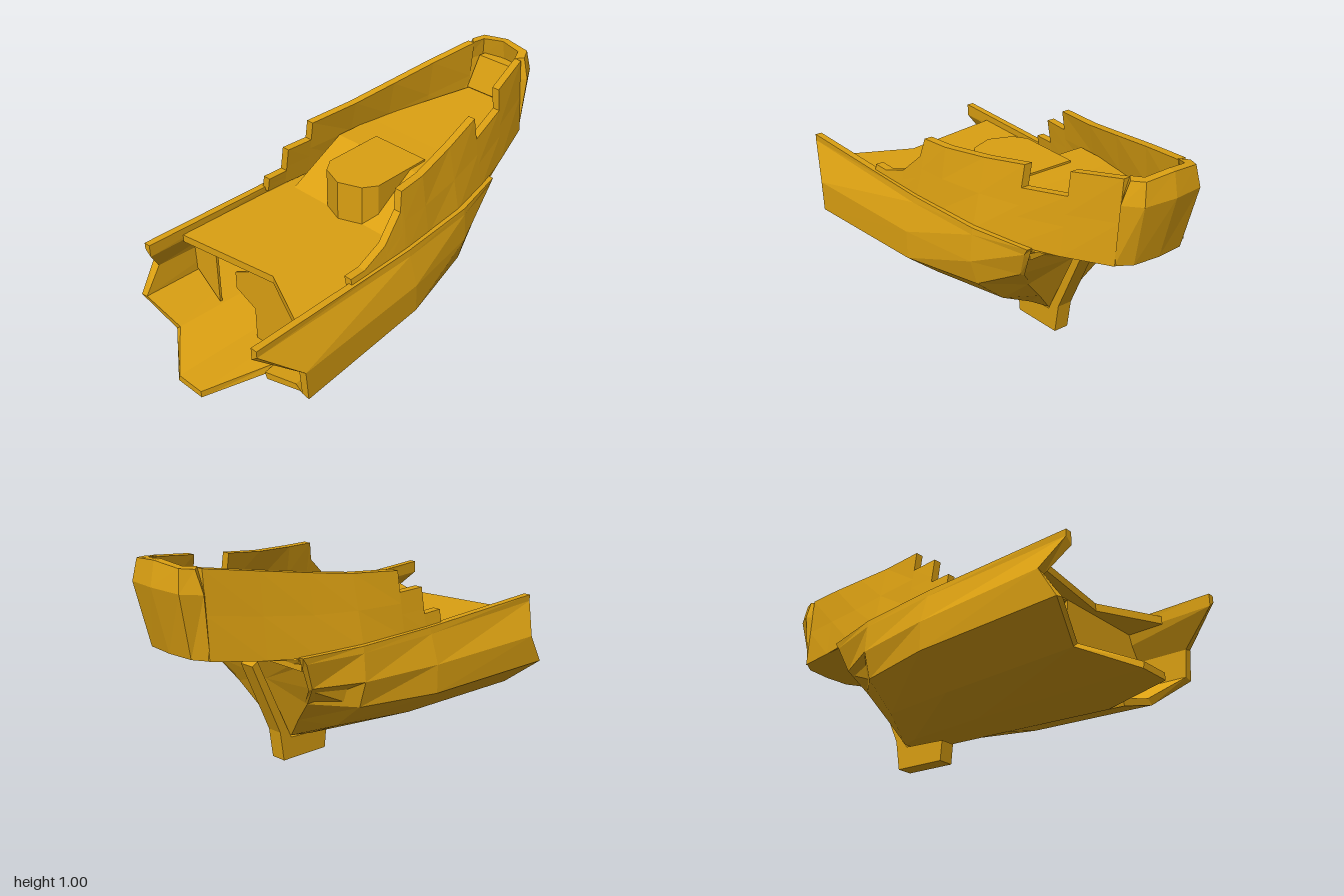
import * as THREE from 'three';

const wood = new THREE.MeshStandardMaterial({ color: 0xdba012, side: THREE.DoubleSide, flatShading: true });
wood.name = 'golden wood';

// Flat-shaded mesh from a list of polygons (each split as a fan)
function faces(name, polys) {
  const pos = [];
  for (const p of polys)
    for (let i = 1; i < p.length - 1; i++) pos.push(...p[0], ...p[i], ...p[i + 1]);
  const geo = new THREE.BufferGeometry();
  geo.setAttribute('position', new THREE.Float32BufferAttribute(pos, 3));
  geo.computeVertexNormals();
  const mesh = new THREE.Mesh(geo, wood);
  mesh.name = name;
  return mesh;
}

// Skin closed loops; each loop is an outer run followed by the reversed inner run
function shell(name, loops) {
  const n = loops[0].length, polys = [];
  for (let s = 0; s < loops.length - 1; s++)
    for (let i = 0; i < n; i++) {
      const j = (i + 1) % n;
      polys.push([loops[s][i], loops[s][j], loops[s + 1][j], loops[s + 1][i]]);
    }
  const rim = (l) => {
    for (let i = 0; i < n / 2 - 1; i++) polys.push([l[i], l[n - 1 - i], l[n - 2 - i], l[i + 1]]);
  };
  rim(loops[0]);
  rim(loops[loops.length - 1]);
  return faces(name, polys);
}

// Extrude a 2D outline by depth
function slab(name, outline, depth) {
  const shape = new THREE.Shape(outline.map(([x, y]) => new THREE.Vector2(x, y)));
  const mesh = new THREE.Mesh(new THREE.ExtrudeGeometry(shape, { depth, bevelEnabled: false }), wood);
  mesh.name = name;
  return mesh;
}

// Horizontal slab from an x,z outline, spanning y0 to y1
function deckSlab(name, outline, y0, y1) {
  const mesh = slab(name, outline, y1 - y0);
  mesh.rotation.x = Math.PI / 2;
  mesh.position.y = y1;
  return mesh;
}

// Piecewise linear lookup in [z, value] pairs with falling z
function lookup(table, z) {
  if (z >= table[0][0]) return table[0][1];
  for (let i = 1; i < table.length; i++) {
    const [z0, a] = table[i - 1], [z1, b] = table[i];
    if (z >= z1) return a + (b - a) * (z - z0) / (z1 - z0);
  }
  return table[table.length - 1][1];
}

// Hull half sections from rail to bottom: x, y (last one also z)
const hullHalf = [
  { pts: [[0.42, 0.58], [0.42, 0.55], [0.495, 0.41], [0.495, 0.27], [0.335, 0.14], [0.13, 0.075]] },
  { z: 0.15, pts: [[0.405, 0.58], [0.41, 0.55], [0.45, 0.42], [0.45, 0.29], [0.29, 0.16], [0.1, 0.102]] },
  { z: -0.24, pts: [[0.375, 0.58], [0.378, 0.55], [0.388, 0.428], [0.355, 0.31], [0.22, 0.19], [0.07, 0.115]] },
  { pts: [[0.31, 0.58, -0.52], [0.31, 0.55, -0.5], [0.29, 0.43, -0.45], [0.21, 0.33, -0.4], [0.12, 0.225, -0.365], [0.04, 0.122, -0.33]] },
];
// Ragged broken front edge, from the -x rail round to the +x rail
const breakZ = [0.87, 0.87, 0.79, 0.87, 0.82, 0.98, 0.98, 0.65, 0.72, 0.72, 0.82, 0.83, 1.0, 1.0];

function hullOuter({ z, pts }, front) {
  const keel = pts[pts.length - 1];
  const run = [
    ...pts.map(([x, y, pz]) => [-x, y, pz ?? z]),
    ...[0.15, 0.92].map((f) => [keel[0] * f, keel[1], keel[2] ?? z]),
    ...[...pts].reverse().map(([x, y, pz]) => [x, y, pz ?? z]),
  ];
  return front ? run.map(([x, y], i) => [x, y, breakZ[i]]) : run;
}

function buildHull(group) {
  const outers = hullHalf.map((h, i) => hullOuter(h, i === 0));
  const inset = ([x, y, z]) => [x * 0.925, y > 0.57 ? y : 0.33 + (y - 0.33) * 0.88, z];
  group.add(shell('hull', outers.map((o) => [...o, ...[...o].reverse().map(inset)])));
  const end = outers[outers.length - 1];
  const mid = [0, 0.4, -0.435];
  group.add(faces('sternPlate', end.map((p, i) => [mid, p, end[(i + 1) % end.length]])));
}

// Upper side walls
const baseX = [[0.48, 0.4], [0.15, 0.39], [-0.26, 0.355], [-0.52, 0.29], [-0.9, 0.175]];
const topX = [[0.14, 0.345], [0, 0.335], [-0.43, 0.255], [-0.65, 0.21], [-0.9, 0.15]];
const topY = [[0.14, 0.835], [0, 0.842], [-0.22, 0.865], [-0.43, 0.9], [-0.65, 0.94], [-0.9, 0.985]];
const baseY = [[-0.5, 0.565], [-0.9, 0.63]];
const WALL = 0.036;

function wallLoop(side, z, y = lookup(topY, z)) {
  const b = lookup(baseY, z), bx = lookup(baseX, z);
  const at = (v) => bx + (lookup(topX, z) - bx) * (v - b) / (lookup(topY, z) - b);
  const run = [b, (b + y) / 2, y].map((v) => [at(v), v]);
  const inner = [...run].reverse().map(([x, v]) => [x - WALL, v]);
  return [...run, ...inner].map(([x, v]) => [side * x, v, z]);
}

function buildWalls(group) {
  const leftPath = [[0.48, 0.605], [0.4, 0.605], [0.27, 0.65], [0.16, 0.75], [0.14], [0], [-0.22], [-0.43],
    [-0.43, 0.805], [-0.65, 0.84], [-0.65], [-0.88]];
  const rightPath = [[0.24, 0.635], [0.14, 0.635], [0.14, 0.75], [0.01, 0.75], [0.01], [-0.22], [-0.43], [-0.65], [-0.88]];
  group.add(shell('leftWall', leftPath.map(([z, y]) => wallLoop(1, z, y))));
  group.add(shell('rightWall', rightPath.map(([z, y]) => wallLoop(-1, z, y))));

  // Faceted wall round the stern
  const corner = [[0.178, 0.626, -0.875], [0.185, 0.89, -0.9], [0.152, 0.984, -0.91]];
  const back = [[0.12, 0.63, -0.92], [0.14, 0.9, -0.98], [0.125, 0.992, -0.965]];
  const centre = [[0, 0.63, -0.93], [0, 0.905, -1], [0, 1.005, -0.98]];
  const flip = (run) => run.map(([x, y, z]) => [-x, y, z]);
  const close = (run) => [...run, ...[...run].reverse().map(([x, y, z]) => [x * 0.8, y, z + 0.035])];
  group.add(shell('sternWall', [corner, back, centre, flip(back), flip(corner)].map(close)));

  // Underside of the overhanging stern
  const rows = [[0.31, 0.565, -0.4], [0.29, 0.567, -0.52], [0.178, 0.626, -0.875], [0.12, 0.63, -0.92], [0, 0.63, -0.93]];
  group.add(strip('sternUnderside', rows));
}

// Symmetric surface through rows of [half width, y, z]
function strip(name, rows) {
  const polys = [];
  for (let i = 1; i < rows.length; i++) {
    const [x0, y0, z0] = rows[i - 1], [x1, y1, z1] = rows[i];
    polys.push([[-x0, y0, z0], [x0, y0, z0], [x1, y1, z1], [-x1, y1, z1]]);
  }
  return faces(name, polys);
}

export function createModel() {
  const group = new THREE.Group();
  group.name = 'brokenShipStern';
  buildHull(group);
  buildWalls(group);

  // Decks, ramp and hatch
  group.add(deckSlab('mainDeck', [[-0.385, 0.7], [0.1, 0.63], [0.39, 0.77], [0.375, 0.15], [0.34, -0.2],
    [0.28, -0.5], [-0.28, -0.5], [-0.34, -0.2], [-0.375, 0.15]], 0.515, 0.55));
  group.add(strip('rampAndUpperDeck', [[0.315, 0.55, 0.12], [0.285, 0.725, -0.14], [0.275, 0.727, -0.345], [0.125, 0.748, -0.88]]));
  group.add(deckSlab('hatch', [[-0.145, -0.235], [0.145, -0.235], [0.145, 0.06], [0.105, 0.12], [0, 0.16],
    [-0.105, 0.12], [-0.145, 0.06]], 0.55, 0.735));

  // Stern locker with a leaning front
  group.add(strip('sternLocker', [[0.125, 0.745, -0.87], [0.125, 0.757, -0.855], [0.105, 0.912, -0.91], [0.1, 0.912, -0.96]]));

  // Bulkhead below deck with a broken opening
  const bulkhead = slab('bulkhead', [[-0.38, 0.52], [-0.45, 0.41], [-0.45, 0.3], [-0.3, 0.18], [-0.3, 0.5], [-0.22, 0.5],
    [-0.06, 0.51], [-0.06, 0.47], [-0.175, 0.41], [-0.175, 0.325], [-0.06, 0.275], [-0.06, 0.11], [0.12, 0.11],
    [0.31, 0.175], [0.45, 0.3], [0.45, 0.41], [0.38, 0.52]], 0.012);
  bulkhead.position.z = 0.59;
  group.add(bulkhead);

  // Rudder and its foot
  const rudder = slab('rudder', [[0.54, 0.485], [0.51, 0.5], [0.42, 0.31], [0.325, 0.11], [0.11, 0.09],
    [0.12, 0], [0.37, 0.015], [0.39, 0.15]], 0.07);
  rudder.rotation.y = Math.PI / 2;
  rudder.position.x = -0.035;
  group.add(rudder);
  return group;
}
